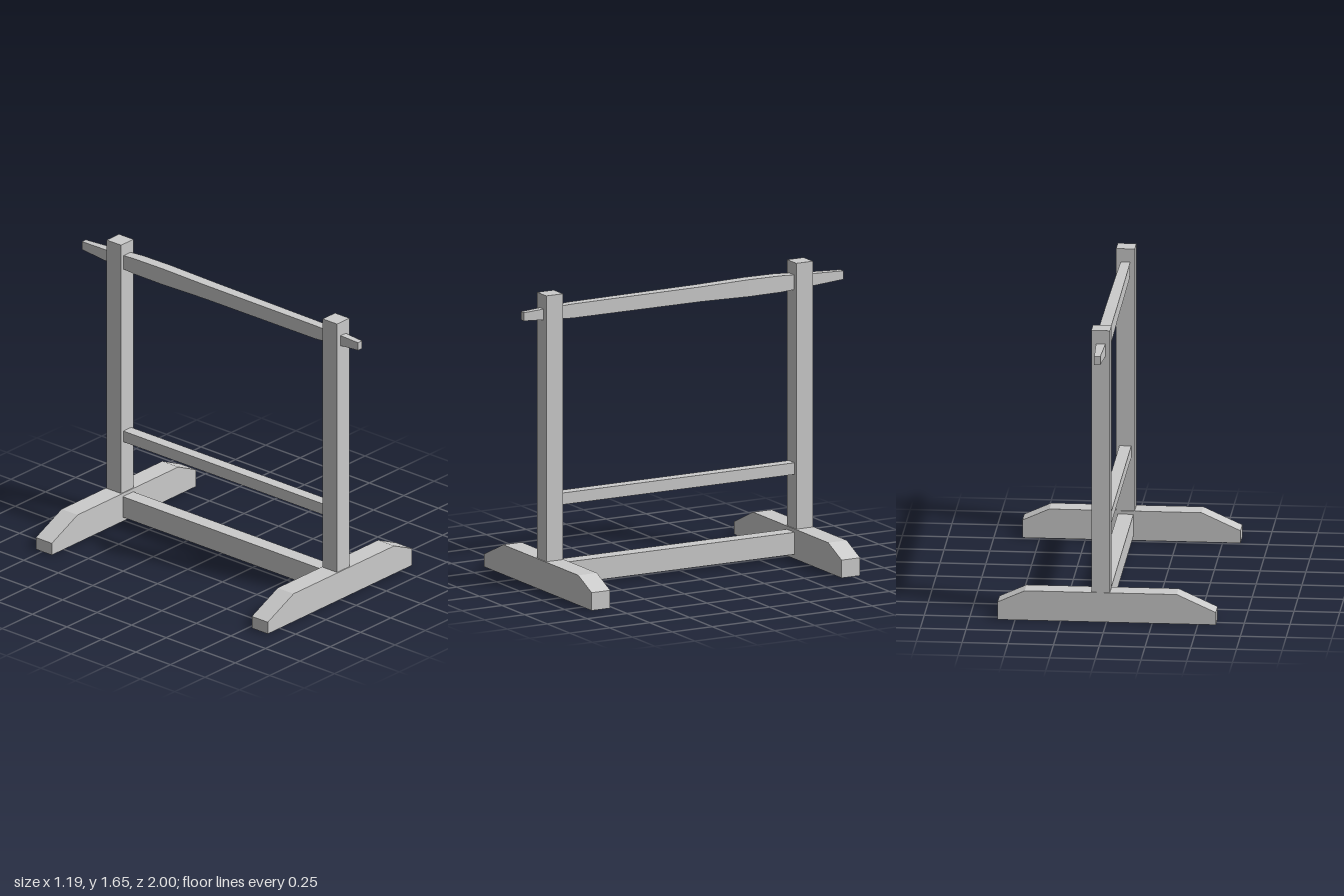
import * as THREE from 'three';

const material = new THREE.MeshStandardMaterial({ color: 0xcccccc, flatShading: true });

function add(group, name, geometry) {
  const mesh = new THREE.Mesh(geometry, material);
  mesh.name = name;
  group.add(mesh);
  return mesh;
}

// Box given by its limits on each axis
function boxBetween(x0, x1, y0, y1, z0, z1) {
  return new THREE.BoxGeometry(x1 - x0, y1 - y0, z1 - z0)
    .translate((x0 + x1) / 2, (y0 + y1) / 2, (z0 + z1) / 2);
}

// Rectangular bar along z, sections listed from back to front: [z, x0, x1, y0, y1]
function taperedBar(sections) {
  const n = sections.length - 1;
  const geometry = new THREE.BoxGeometry(1, 1, n, 1, 1, n);
  const p = geometry.attributes.position;
  for (let i = 0; i < p.count; i++) {
    const [z, x0, x1, y0, y1] = sections[Math.round(p.getZ(i) + n / 2)];
    p.setXYZ(i, p.getX(i) < 0 ? x0 : x1, p.getY(i) < 0 ? y0 : y1, z);
  }
  geometry.computeVertexNormals();
  return geometry;
}

export function createModel() {
  const model = new THREE.Group();
  model.name = 'rackStand';

  // Foot outline with a long slope on one end and a short one on the other
  const footShape = new THREE.Shape([
    [-0.598, 0], [0.595, 0], [0.595, 0.1], [0.447, 0.167], [-0.385, 0.167], [-0.598, 0.07],
  ].map(([x, y]) => new THREE.Vector2(x, y)));

  // Two end frames: foot and upright post
  for (const [side, z] of [['front', 0.826], ['back', -0.738]]) {
    const foot = new THREE.ExtrudeGeometry(footShape, { depth: 0.116, bevelEnabled: false });
    add(model, side + 'Foot', foot.translate(0, 0, z - 0.058));
    add(model, side + 'Post', boxBetween(-0.019, 0.083, 0.1, 1.655, z - 0.052, z + 0.052));
  }

  // Rails joining the end frames
  add(model, 'lowerStretcher', boxBetween(-0.012, 0.074, 0.025, 0.148, -0.7, 0.79));
  add(model, 'middleRail', boxBetween(0, 0.065, 0.47, 0.535, -0.7, 0.79));

  // Top rail, thinning toward the ends that pass through the posts
  add(model, 'topRail', taperedBar([
    [-1, 0.016, 0.049, 1.522, 1.57],
    [-0.79, 0.006, 0.057, 1.509, 1.579],
    [-0.6, 0, 0.063, 1.499, 1.591],
    [-0.4, 0, 0.064, 1.498, 1.593],
    [-0.1, 0.001, 0.064, 1.505, 1.588],
    [0.7, 0.004, 0.058, 1.505, 1.584],
    [0.88, 0.011, 0.053, 1.515, 1.575],
    [1, 0.016, 0.049, 1.522, 1.568],
  ]));

  return model;
}
